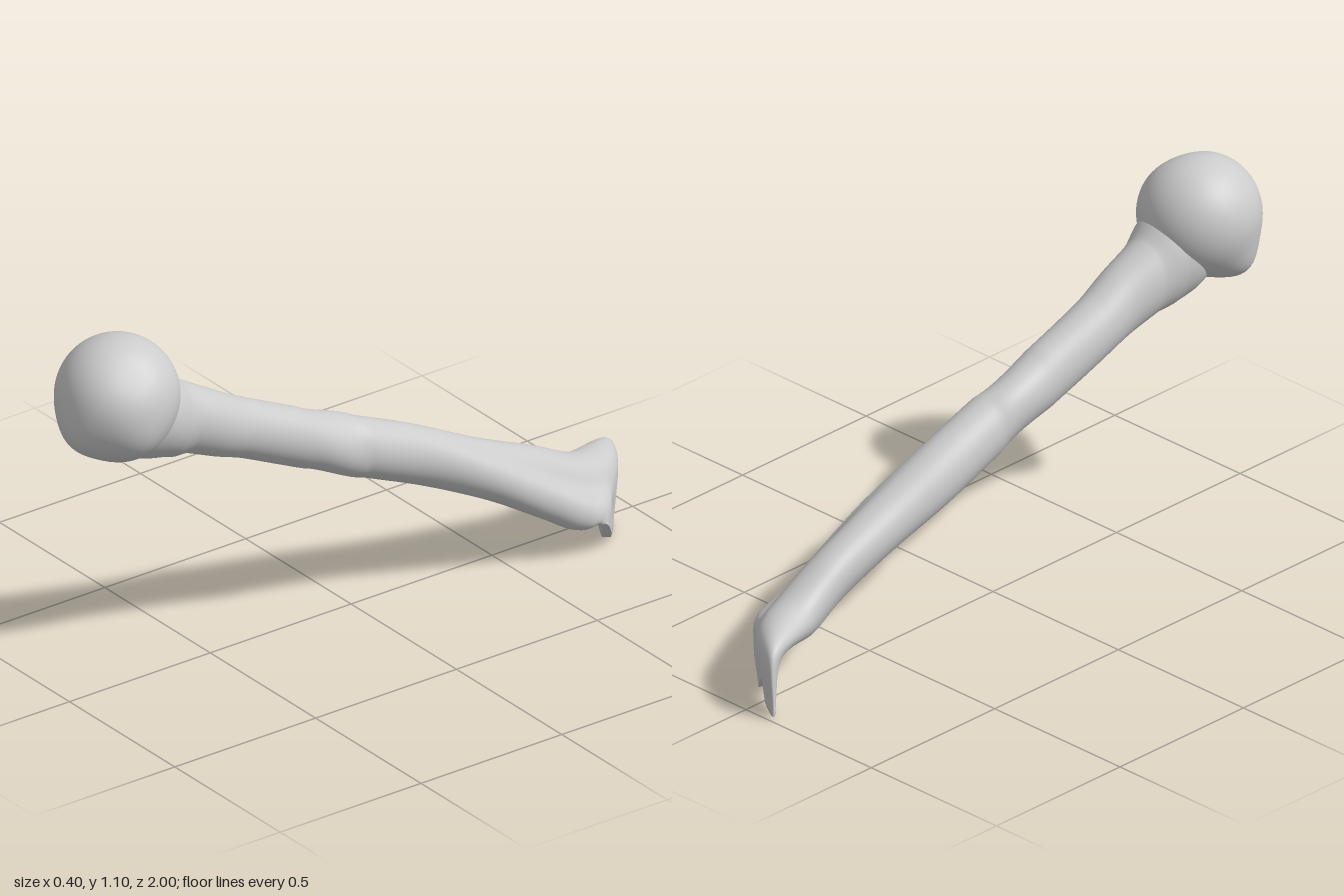
import * as THREE from 'three';

const material = new THREE.MeshStandardMaterial({ color: 0xcccccc });
const vec = (a) => new THREE.Vector3(...a);

// Shaft stations from neck to far end: centre, wide half-axis, thin half-axis
const STATIONS = [
  [[0, 0.85, 0.84], [0.1, 0, 0], [0, 0.11, 0]],
  [[-0.01, 0.84, 0.72], [0.125, 0, 0], [0, 0.14, 0]],
  [[-0.01, 0.82, 0.66], [0.112, 0, 0], [0, 0.138, 0]],
  [[-0.01, 0.79, 0.6], [0.094, 0, 0], [0, 0.115, 0]],
  [[0, 0.742, 0.5], [0.084, 0, 0], [0, 0.106, 0]],
  [[0, 0.695, 0.4], [0.08, 0, 0], [0, 0.096, 0]],
  [[0.015, 0.605, 0.2], [0.077, 0, 0], [0, 0.095, 0]],
  [[0.03, 0.52, 0], [0.08, 0, 0], [0, 0.095, 0]],
  [[0.04, 0.435, -0.2], [0.08, -0.01, 0], [0.01, 0.094, 0]],
  [[0.067, 0.34, -0.4], [0.085, -0.03, 0], [0.02, 0.086, 0]],
  [[0.083, 0.238, -0.6], [0.09, -0.06, 0.01], [0.03, 0.076, -0.01]],
  [[0.085, 0.17, -0.73], [0.108, -0.055, 0.03], [0.03, 0.066, -0.03]],
  [[0.057, 0.148, -0.855], [0.14, -0.04, 0.112], [0.022, 0.033, -0.03]],
  [[0.05, 0.05, -0.875], [0.15, 0.03, 0.115], [0.011, 0, -0.014]],
];

// Height of the notched lower edge, from the thin corner to the thick one
const EDGE = [[0, 0.01], [0.2, 0.02], [0.33, 0.07], [0.45, 0.025], [0.54, 0], [0.75, 0.01], [0.87, 0.05], [1, 0.1]];
function edgeHeight(t) {
  const i = Math.max(1, EDGE.findIndex((e) => e[0] >= t - 1e-9));
  const [a, b] = [EDGE[i - 1], EDGE[i]];
  return THREE.MathUtils.mapLinear(t, a[0], b[0], a[1], b[1]);
}

// Loft of elliptical rings that flatten and twist into a thin flared plate
function shaftGeometry(rows = 208, n = 80) {
  const [centre, wide, thin] = [0, 1, 2].map((k) => new THREE.CatmullRomCurve3(STATIONS.map((s) => vec(s[k]))));
  const pit = new THREE.Vector3(0.125, 0.1, -0.83);
  const pos = [], index = [];
  for (let i = 0; i <= rows; i++) {
    const s = i / rows;
    const c = centre.getPoint(s), u = wide.getPoint(s), v = thin.getPoint(s);
    const notch = THREE.MathUtils.smoothstep(s, 0.93, 1);
    const hollow = THREE.MathUtils.smoothstep(s, 0.6, 0.85);
    for (let j = 0; j < n; j++) {
      const a = (j / n) * Math.PI * 2, cs = Math.cos(a), sn = Math.sin(a);
      const p = c.clone().addScaledVector(u, cs).addScaledVector(v, sn);
      if (sn > 0) {
        // Shallow hollow on the rear face and a small pit in it
        const groove = 0.3 * hollow * Math.exp(-(((cs - 0.35) / 0.35) ** 2));
        const dent = 1.3 * Math.exp(-p.distanceToSquared(pit) / 0.0006);
        p.addScaledVector(v, -sn * (groove + dent));
      }
      p.y += notch * (edgeHeight((cs + 1) / 2) - (0.05 + 0.03 * cs));
      pos.push(p.x, Math.max(0, p.y), p.z);
    }
  }
  for (let i = 0; i < rows; i++) {
    for (let j = 0; j < n; j++) {
      const a = i * n + j, b = i * n + ((j + 1) % n);
      index.push(a, a + n, b, b, a + n, b + n);
    }
  }
  // Strip closing the thin lower edge
  const L = rows * n;
  for (let j = 1; j <= n / 2; j++) {
    const up = L + j, prev = L + j - 1, low = L + n - j, lowPrev = L + ((n - j + 1) % n);
    index.push(up, prev, low, prev, lowPrev, low);
  }
  const g = new THREE.BufferGeometry();
  g.setAttribute('position', new THREE.Float32BufferAttribute(pos, 3));
  g.setIndex(index);
  g.computeVertexNormals();
  return g;
}

// Swellings and the groove on the ball: direction, height, sharpness
const BUMPS = [
  [[-0.13, -0.16, 0.06], 0.036, 14],
  [[0.02, -0.1, 0.17], 0.024, 10],
  [[0.15, -0.1, 0.03], 0.014, 10],
  [[0.04, -0.19, 0.02], 0.012, 8],
  [[-0.07, -0.15, 0.1], -0.03, 40],
  [[0.13, 0.13, 0.05], -0.014, 8],
];

function headGeometry() {
  const g = new THREE.SphereGeometry(1, 96, 64);
  const p = g.attributes.position, d = new THREE.Vector3();
  const bumps = BUMPS.map(([dir, h, k]) => [vec(dir).normalize(), h, k]);
  for (let i = 0; i < p.count; i++) {
    d.fromBufferAttribute(p, i).normalize();
    let r = 0.18;
    for (const [dir, h, k] of bumps) r += h * Math.exp(k * (d.dot(dir) - 1));
    p.setXYZ(i, d.x * r, d.y * r, d.z * r);
  }
  g.computeVertexNormals();
  // Matching normals along the sphere's seam
  const nrm = g.attributes.normal, a = new THREE.Vector3(), b = new THREE.Vector3();
  for (let r = 0; r <= 64; r++) {
    const i = r * 97, j = i + 96;
    a.fromBufferAttribute(nrm, i).add(b.fromBufferAttribute(nrm, j)).normalize();
    nrm.setXYZ(i, a.x, a.y, a.z);
    nrm.setXYZ(j, a.x, a.y, a.z);
  }
  return g;
}

export function createModel() {
  const group = new THREE.Group();
  group.name = 'bone';
  const shaft = new THREE.Mesh(shaftGeometry(), material);
  shaft.name = 'shaft';
  const head = new THREE.Mesh(headGeometry(), material);
  head.name = 'head';
  head.position.set(-0.02, 0.92, 0.815);
  group.add(shaft, head);
  return group;
}
